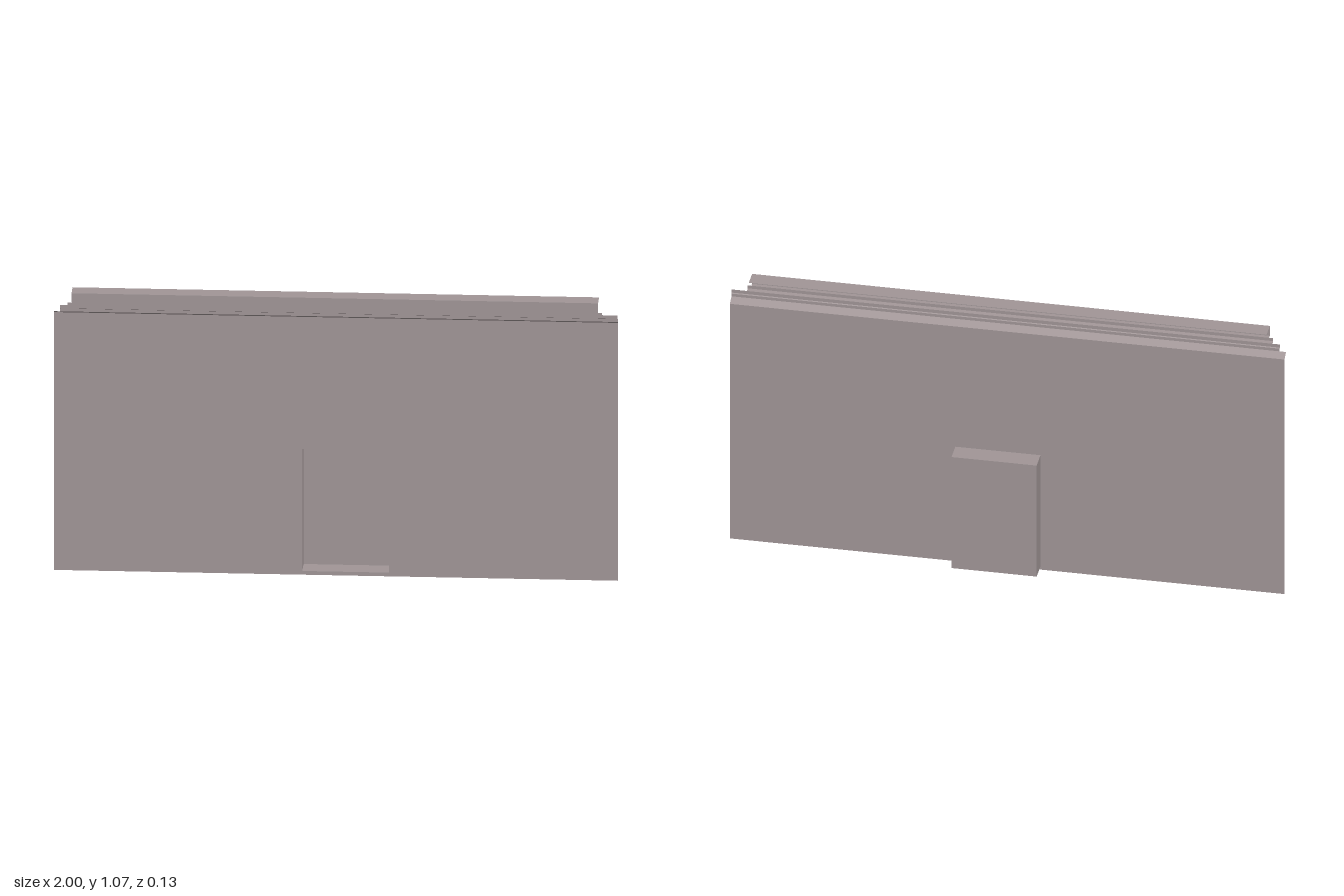
import * as THREE from 'three';

const stone = new THREE.MeshStandardMaterial({ color: 0xa09596, side: THREE.DoubleSide });
stone.name = 'warm grey stone';

const WALL_Z = 0.005, BACK_Z = -0.067, FRONT_Z = 0.067;
const DOOR = { x0: -0.12, x1: 0.187, y0: 0.014, y1: 0.474 };

// Rectangular outline, used for the wall and its opening
function rectangle(Type, x0, x1, y0, y1) {
  return new Type([[x0, y0], [x1, y0], [x1, y1], [x0, y1]].map(([x, y]) => new THREE.Vector2(x, y)));
}

// Sheet that carries an open [z, y] profile from x0 to x1
function moulding(name, x0, x1, profile) {
  const positions = [];
  for (let i = 0; i < profile.length - 1; i++) {
    const [za, ya] = profile[i], [zb, yb] = profile[i + 1];
    positions.push(x0, ya, za, x1, ya, za, x1, yb, zb);
    positions.push(x0, ya, za, x1, yb, zb, x0, yb, zb);
  }
  const geometry = new THREE.BufferGeometry();
  geometry.setAttribute('position', new THREE.Float32BufferAttribute(positions, 3));
  geometry.computeVertexNormals();
  const mesh = new THREE.Mesh(geometry, stone);
  mesh.name = name;
  return mesh;
}

function panel(name, width, height, x, y, z, rx = 0, ry = 0) {
  const mesh = new THREE.Mesh(new THREE.PlaneGeometry(width, height), stone);
  mesh.name = name;
  mesh.position.set(x, y, z);
  mesh.rotation.set(rx, ry, 0);
  return mesh;
}

export function createModel() {
  const model = new THREE.Group();
  model.name = 'wallWithNiche';

  // Thin wall with the niche opening cut out
  const outline = rectangle(THREE.Shape, -1, 1, 0, 0.972);
  outline.holes.push(rectangle(THREE.Path, DOOR.x0, DOOR.x1, DOOR.y0, DOOR.y1));
  const wall = new THREE.Mesh(new THREE.ShapeGeometry(outline), stone);
  wall.name = 'wall';
  wall.position.z = WALL_Z;
  model.add(wall);

  // Niche: back, two sides, floor and ceiling, open to the front
  const niche = new THREE.Group();
  niche.name = 'niche';
  const w = DOOR.x1 - DOOR.x0, h = DOOR.y1 - DOOR.y0, d = WALL_Z - BACK_Z;
  const cx = (DOOR.x0 + DOOR.x1) / 2, cy = (DOOR.y0 + DOOR.y1) / 2, cz = (WALL_Z + BACK_Z) / 2;
  niche.add(
    panel('nicheBack', w, h, cx, cy, BACK_Z),
    panel('nicheRightSide', d, h, DOOR.x0, cy, cz, 0, Math.PI / 2),
    panel('nicheLeftSide', d, h, DOOR.x1, cy, cz, 0, -Math.PI / 2),
    panel('nicheFloor', w, d, cx, DOOR.y0, cz, -Math.PI / 2),
    panel('nicheCeiling', w, d, cx, DOOR.y1, cz, Math.PI / 2)
  );
  model.add(niche);

  // Cornice: open strips stepping forward and upward
  const cornice = new THREE.Group();
  cornice.name = 'cornice';
  cornice.add(
    moulding('slopedSoffit', -1, 1, [[WALL_Z, 0.972], [0.034, 0.986]]),
    moulding('lowerFascia', -0.977, 1, [[0.034, 0.986], [0.034, 0.997], [0.038, 0.999], [0.038, 1.012]]),
    moulding('middleFascia', -0.95, 0.945, [[0.038, 1.012], [0.053, 1.014], [0.053, 1.026]]),
    moulding('topFascia', -0.935, 0.932, [[0.053, 1.026], [FRONT_Z, 1.026], [FRONT_Z, 1.067], [WALL_Z, 1.067]])
  );
  model.add(cornice);

  return model;
}
